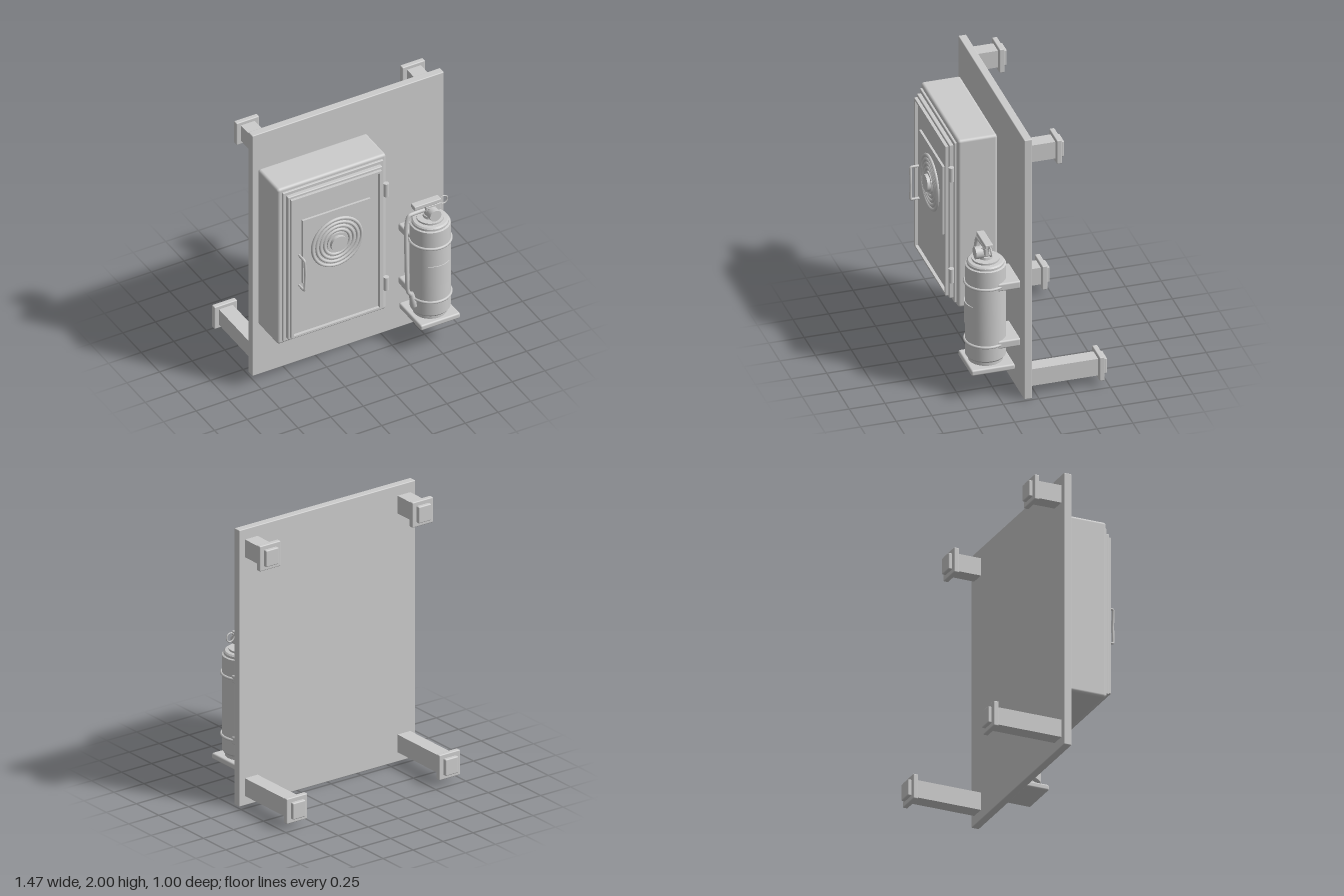
import * as THREE from 'three';
import { RoundedBoxGeometry } from 'three/addons/geometries/RoundedBoxGeometry.js';
import { toCreasedNormals } from 'three/addons/utils/BufferGeometryUtils.js';

export function createModel() {
  const model = new THREE.Group();
  model.name = 'fireStation';
  const grey = new THREE.MeshStandardMaterial({ color: 0xcccccc });
  grey.name = 'plain grey';

  const add = (parent, name, geometry, x = 0, y = 0, z = 0) => {
    const mesh = new THREE.Mesh(geometry, grey);
    mesh.name = name;
    mesh.position.set(x, y, z);
    parent.add(mesh);
    return mesh;
  };
  const group = (name) => {
    const g = new THREE.Group();
    g.name = name;
    model.add(g);
    return g;
  };
  // Box given by its limits, with edges rounded by r
  const box = (parent, name, [x0, x1], [y0, y1], [z0, z1], r = 0) => {
    const size = [x1 - x0, y1 - y0, z1 - z0];
    const geometry = r ? new RoundedBoxGeometry(...size, 3, r) : new THREE.BoxGeometry(...size);
    return add(parent, name, geometry, (x0 + x1) / 2, (y0 + y1) / 2, (z0 + z1) / 2);
  };
  const lathe = (points, segments = 40) => toCreasedNormals(
    new THREE.LatheGeometry(points.map(([r, y]) => new THREE.Vector2(r, y)), segments), 0.6);

  // Back board and its four standoffs
  box(model, 'backBoard', [-0.734, 0.734], [0, 2], [0.042, 0.098], 0.006);
  for (const x of [-0.638, 0.634]) {
    for (const [y, end, name] of [[1.86, -0.197, 'upperStandoff'], [0.133, -0.497, 'lowerStandoff']]) {
      const g = group(name);
      box(g, 'post', [x - 0.053, x + 0.053], [y - 0.064, y + 0.064], [end + 0.04, 0.05]);
      box(g, 'flange', [x - 0.087, x + 0.087], [y - 0.091, y + 0.091], [end + 0.026, end + 0.063], 0.007);
      box(g, 'endCap', [x - 0.053, x + 0.053], [y - 0.06, y + 0.06], [end, end + 0.04], 0.008);
    }
  }

  // Hose cabinet with stepped door
  const cabinet = group('cabinet');
  box(cabinet, 'cabinetBody', [-0.695, 0.138], [0.425, 1.715], [0.097, 0.374], 0.02);
  box(cabinet, 'doorSeat', [-0.663, 0.107], [0.452, 1.685], [0.36, 0.39], 0.005);
  box(cabinet, 'doorPanel', [-0.64, 0.083], [0.478, 1.66], [0.37, 0.418], 0.006);
  const rect = (Path, x0, x1, y0, y1) => {
    const p = new Path();
    p.moveTo(x0, y0);
    p.lineTo(x1, y0);
    p.lineTo(x1, y1);
    p.lineTo(x0, y1);
    p.closePath();
    return p;
  };
  const frame = rect(THREE.Shape, -0.625, 0.067, 0.495, 1.642);
  frame.holes.push(rect(THREE.Path, -0.607, 0.05, 0.51, 1.625));
  add(cabinet, 'doorFrame', new THREE.ExtrudeGeometry(frame, { depth: 0.03, bevelEnabled: false }), 0, 0, 0.41);
  box(cabinet, 'reelPlate', [-0.536, -0.016], [0.92, 1.44], [0.41, 0.434]);
  for (const y of [0.673, 1.453]) {
    add(cabinet, 'hinge', new THREE.CylinderGeometry(0.019, 0.019, 0.105, 20), 0.114, y, 0.413);
  }

  // Coiled reel: disc, rings and hub
  const disc = (parent, name, r, depth, x, y, z) => {
    const m = add(parent, name, new THREE.CylinderGeometry(r, r, depth, 40), x, y, z);
    m.rotation.x = Math.PI / 2;
    return m;
  };
  const [reelX, reelY] = [-0.278, 1.18];
  disc(cabinet, 'reelDisc', 0.19, 0.012, reelX, reelY, 0.436);
  for (const r of [0.187, 0.157, 0.127, 0.097]) {
    add(cabinet, 'reelRing', new THREE.TorusGeometry(r, 0.012, 8, 40), reelX, reelY, 0.44);
  }
  disc(cabinet, 'reelHubBase', 0.078, 0.02, reelX, reelY, 0.442);
  disc(cabinet, 'reelHub', 0.06, 0.035, reelX, reelY, 0.457);

  // Bowed door handle
  const tube = (parent, name, points, r, tension = 0.2) => {
    const curve = new THREE.CatmullRomCurve3(points.map((p) => new THREE.Vector3(...p)), false, 'catmullrom', tension);
    return add(parent, name, new THREE.TubeGeometry(curve, 60, r, 10));
  };
  tube(cabinet, 'doorHandle', [[-0.555, 0.903, 0.415], [-0.555, 0.903, 0.482], [-0.553, 0.915, 0.489],
    [-0.547, 1.03, 0.489], [-0.553, 1.14, 0.489], [-0.555, 1.152, 0.482], [-0.555, 1.152, 0.415]], 0.009);

  // Shelf and clamps for the extinguisher
  const [ex, ez] = [0.514, 0.3];
  const mount = group('extinguisherMount');
  box(mount, 'shelf', [0.363, 0.665], [0.2, 0.243], [0.14, 0.445], 0.012);
  for (const y of [0.395, 0.838]) {
    box(mount, 'clampArm', [0.384, 0.645], [y - 0.03, y + 0.028], [0.094, 0.256], 0.012);
    const band = add(mount, 'clampBand', new THREE.TorusGeometry(0.141, 0.01, 8, 40), ex, y, ez);
    band.rotation.x = Math.PI / 2;
  }

  // Extinguisher bottle
  const bottle = group('extinguisher');
  add(bottle, 'bottleBody', lathe([[0, 0.24], [0.118, 0.24], [0.118, 0.268], [0.128, 0.272], [0.138, 0.285],
    [0.138, 0.97], [0.126, 0.975], [0.126, 0.99], [0.117, 1.0], [0.093, 1.003], [0.093, 1.016],
    [0.05, 1.018], [0.047, 1.036], [0.04, 1.038], [0.04, 1.1], [0, 1.1]]), ex, 0, ez);
  const label = new THREE.CylinderGeometry(0.144, 0.144, 0.165, 16, 1, false, -0.61, 1.22);
  add(bottle, 'label', label, ex, 0.608, ez);

  // Valve, gauge, levers and safety pin
  disc(bottle, 'gauge', 0.043, 0.06, ex, 1.06, 0.347);
  box(bottle, 'valveBlock', [0.47, 0.585], [1.06, 1.115], [0.275, 0.325], 0.005);
  box(bottle, 'topLever', [0.382, 0.588], [1.115, 1.147], [0.27, 0.325], 0.006);
  add(bottle, 'pinRing', new THREE.TorusGeometry(0.031, 0.005, 8, 28), 0.616, 1.113, ez);

  // Hose with its nozzle
  tube(bottle, 'hose', [[0.49, 1.08, 0.3], [0.38, 1.08, 0.303], [0.345, 1.07, 0.305], [0.325, 0.98, 0.31],
    [0.322, 0.72, 0.32], [0.325, 0.49, 0.33], [0.34, 0.45, 0.33], [0.36, 0.42, 0.325]], 0.014, 0.4);
  const nozzle = add(bottle, 'nozzle', new THREE.CylinderGeometry(0.017, 0.027, 0.11, 20), 0.368, 0.39, 0.323);
  nozzle.rotation.z = 0.25;

  return model;
}
